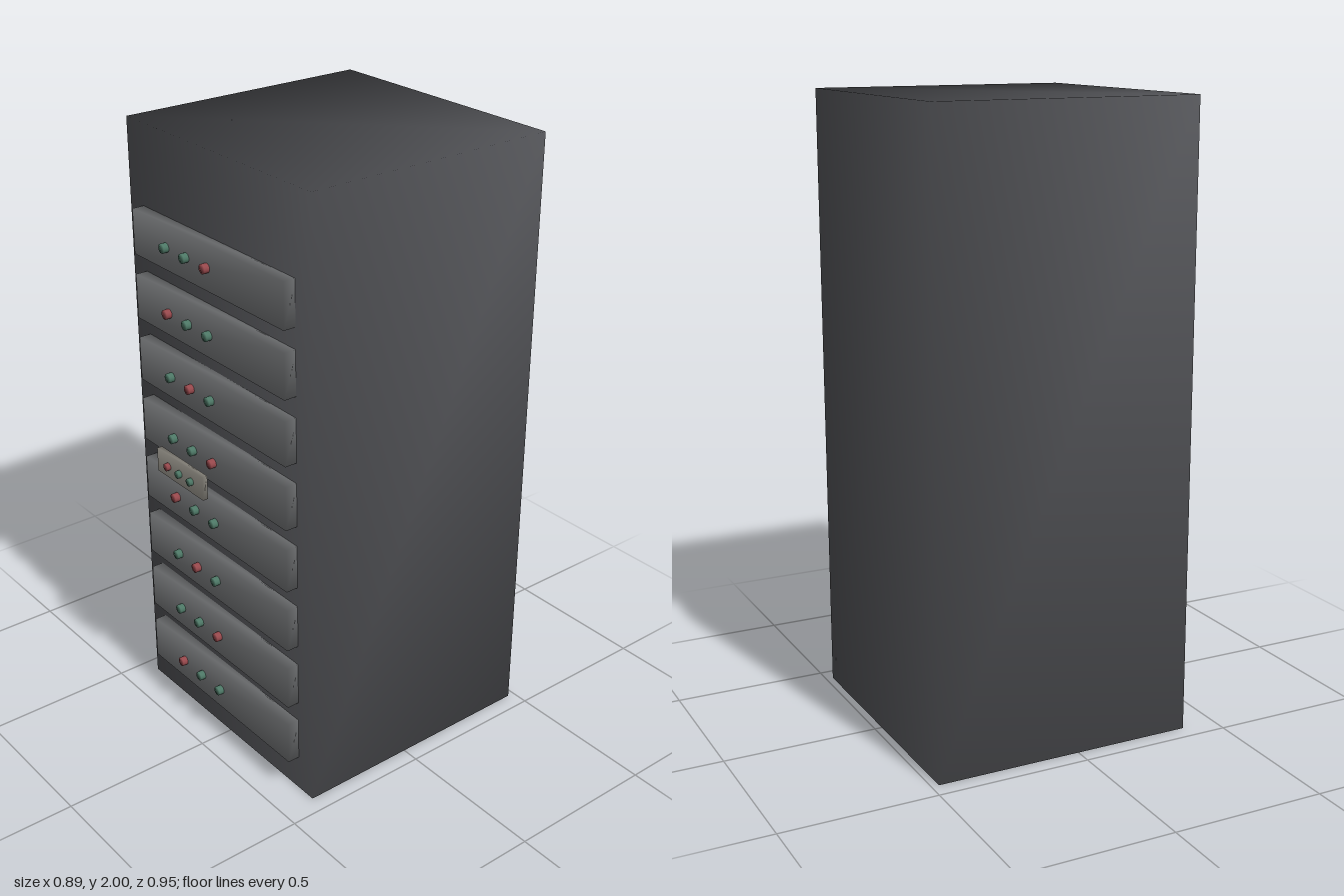
import * as THREE from 'three';
import { mergeVertices } from 'three/addons/utils/BufferGeometryUtils.js';

const mat = (color) => new THREE.MeshStandardMaterial({ color });
const cabinetMat = mat(0x55565a);
const unitMat = mat(0x808284);
const panelMat = mat(0xaaa69c);
const redMat = mat(0x9a4a4e);
const greenMat = mat(0x4f7a68);

// Weld shared corners so shading flows smoothly across the edges
function smooth(geometry) {
  geometry.deleteAttribute('uv');
  geometry.deleteAttribute('normal');
  const welded = mergeVertices(geometry);
  welded.computeVertexNormals();
  return welded;
}

// Box given by its extents on each axis
function box(name, material, [x0, x1], [y0, y1], [z0, z1]) {
  const mesh = new THREE.Mesh(smooth(new THREE.BoxGeometry(x1 - x0, y1 - y0, z1 - z0)), material);
  mesh.position.set((x0 + x1) / 2, (y0 + y1) / 2, (z0 + z1) / 2);
  mesh.name = name;
  return mesh;
}

// Row of three round indicator lights; one of them is red
function lightRow(xs, y, z0, z1, radius, shift) {
  const row = new THREE.Group();
  row.name = 'indicatorLights';
  const geometry = smooth(new THREE.CylinderGeometry(radius, radius, z1 - z0, 16).rotateX(Math.PI / 2));
  xs.forEach((x, j) => {
    const isRed = (j + shift) % 3 === 0;
    const light = new THREE.Mesh(geometry, isRed ? redMat : greenMat);
    light.name = isRed ? 'redLight' : 'greenLight';
    light.position.set(x, y, (z0 + z1) / 2);
    row.add(light);
  });
  return row;
}

export function createModel() {
  const model = new THREE.Group();
  model.name = 'serverRack';

  // Cabinet
  model.add(box('cabinet', cabinetMat, [-0.443, 0.443], [0, 2], [-0.476, 0.384]));

  // Stacked units with their lights
  for (let i = 0; i < 8; i++) {
    const y = 0.193 + i * 0.2107;
    const unit = new THREE.Group();
    unit.name = 'rackUnit';
    unit.add(box('unitFront', unitMat, [-0.373, 0.373], [y - 0.072, y + 0.072], [0.38, 0.424]));
    unit.add(lightRow([-0.196, -0.092, 0.012], y, 0.42, 0.442, 0.015, i));
    model.add(unit);
  }

  // Small control panel in front of the units
  const panel = new THREE.Group();
  panel.name = 'controlPanel';
  panel.add(box('panelPlate', panelMat, [-0.242, 0.006], [0.915, 0.995], [0.445, 0.463]));
  panel.add(lightRow([-0.18, -0.118, -0.056], 0.955, 0.461, 0.475, 0.0125, 0));
  model.add(panel);

  return model;
}
